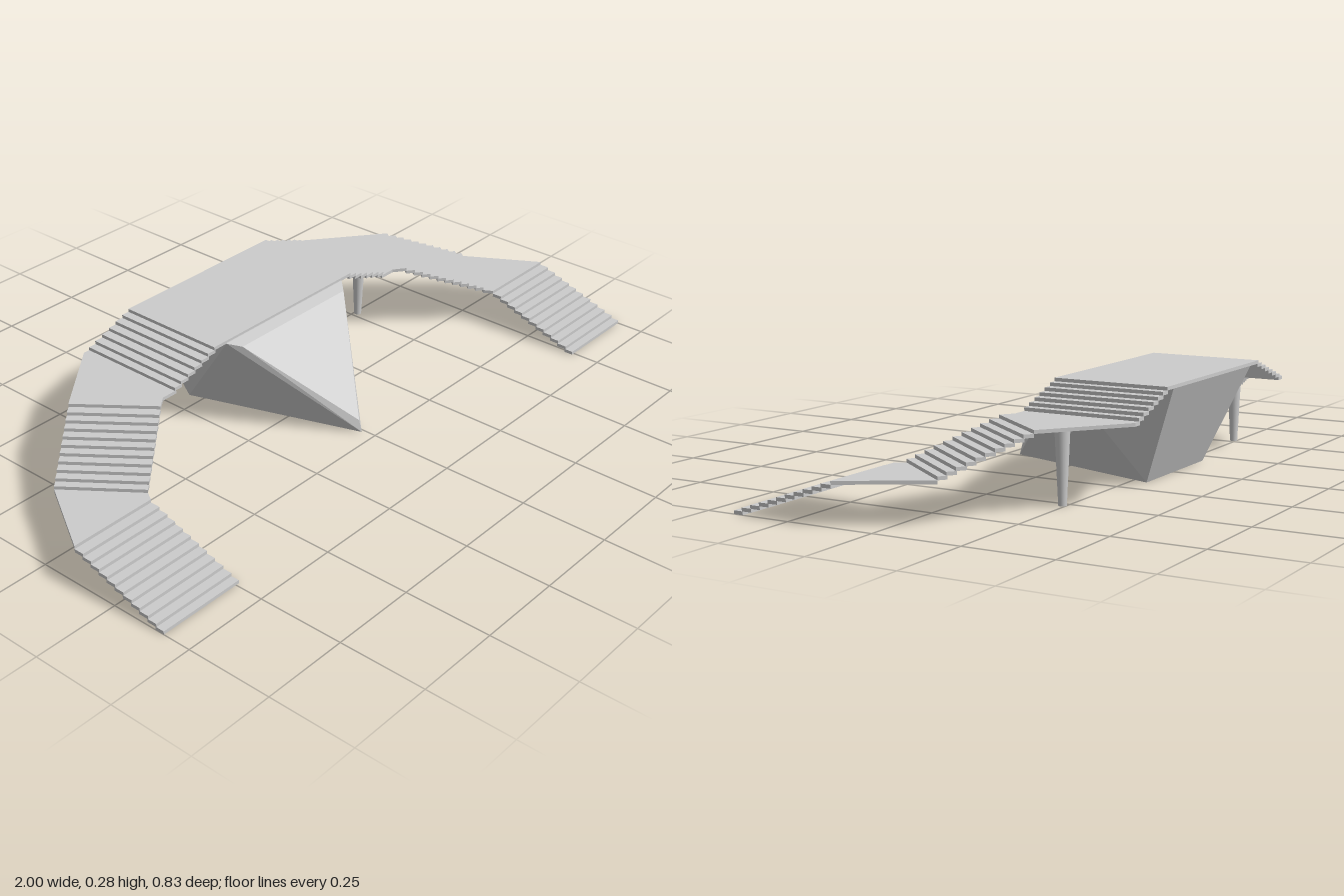
import * as THREE from 'three';
import { ConvexGeometry } from 'three/addons/geometries/ConvexGeometry.js';

const THICK = 0.0095;
const material = new THREE.MeshStandardMaterial({ color: 0xcccccc, flatShading: true });
const smooth = new THREE.MeshStandardMaterial({ color: 0xcccccc });

// Flat slab from a plan outline of [x, z] corners, with its upper face at height top
function slab(name, corners, top) {
  const shape = new THREE.Shape(corners.map(([x, z]) => new THREE.Vector2(x, -z)));
  const geometry = new THREE.ExtrudeGeometry(shape, { depth: THICK, bevelEnabled: false });
  geometry.rotateX(-Math.PI / 2).translate(0, top - THICK, 0);
  const mesh = new THREE.Mesh(geometry, material);
  mesh.name = name;
  return mesh;
}

const mix = (a, b, t) => [a[0] + (b[0] - a[0]) * t, a[1] + (b[1] - a[1]) * t];

// Straight flight of thin treads, descending from the upper to the lower pair of corners
function flight(name, outer, inner, count, topY, rise) {
  const group = new THREE.Group();
  group.name = name;
  for (let i = 0; i < count; i++) {
    const a = i / count;
    const b = Math.min(1, (i + 1.1) / count);
    const outline = [mix(...outer, a), mix(...outer, b), mix(...inner, b), mix(...inner, a)];
    group.add(slab('tread', outline, topY - rise * (i + 1)));
  }
  return group;
}

// One wing of the stair: three flights, two landings and a post
function wing(side) {
  const group = new THREE.Group();
  group.name = side > 0 ? 'leftWing' : 'rightWing';
  const p = (x, z) => [x * side, z];
  const deckY = 0.285, upperY = 0.218, lowerY = 0.114;

  group.add(flight('upperFlight', [p(0.285, -0.417), p(0.445, -0.417)],
    [p(0.285, -0.083), p(0.445, -0.083)], 6, deckY, (deckY - upperY) / 7));
  group.add(slab('upperLanding', [p(0.44, -0.417), p(0.465, -0.417), p(0.675, -0.25),
    p(0.525, -0.057), p(0.49, -0.083), p(0.44, -0.083)], upperY));
  group.add(flight('middleFlight', [p(0.675, -0.25), p(0.87, -0.10)],
    [p(0.525, -0.057), p(0.725, 0.092)], 10, upperY, (upperY - lowerY) / 11));
  group.add(slab('lowerLanding', [p(0.87, -0.10), p(1, 0.118), p(0.74, 0.118),
    p(0.725, 0.092)], lowerY));
  group.add(flight('lowerFlight', [p(1, 0.118), p(1, 0.417)],
    [p(0.74, 0.118), p(0.74, 0.417)], 11, lowerY, (lowerY - THICK) / 11));

  const post = new THREE.Mesh(new THREE.CylinderGeometry(0.021, 0.011, 0.212, 20), smooth);
  post.name = 'post';
  post.position.set(0.52 * side, 0.106, -0.24);
  group.add(post);
  return group;
}

export function createModel() {
  const model = new THREE.Group();
  model.name = 'stairBridge';

  // Central deck
  model.add(slab('deck', [[-0.29, -0.417], [0.29, -0.417], [0.29, -0.083], [-0.29, -0.083]], 0.285));

  // Wedge-shaped pier, pointed at the front and leaning out to the deck
  const points = [
    [-0.01, 0, 0.21], [-0.01, 0.035, 0.2],
    [-0.183, 0, -0.295], [0.165, 0, -0.295],
  ];
  for (const s of [-1, 1]) {
    points.push([s * 0.215 - 0.003, 0.27, -0.045], [s * 0.245, 0.278, -0.08], [s * 0.245, 0.278, -0.414]);
  }
  const pier = new THREE.Mesh(
    new ConvexGeometry(points.map((v) => new THREE.Vector3(...v))), material);
  pier.name = 'pier';
  model.add(pier);

  for (const side of [1, -1]) model.add(wing(side));
  return model;
}
